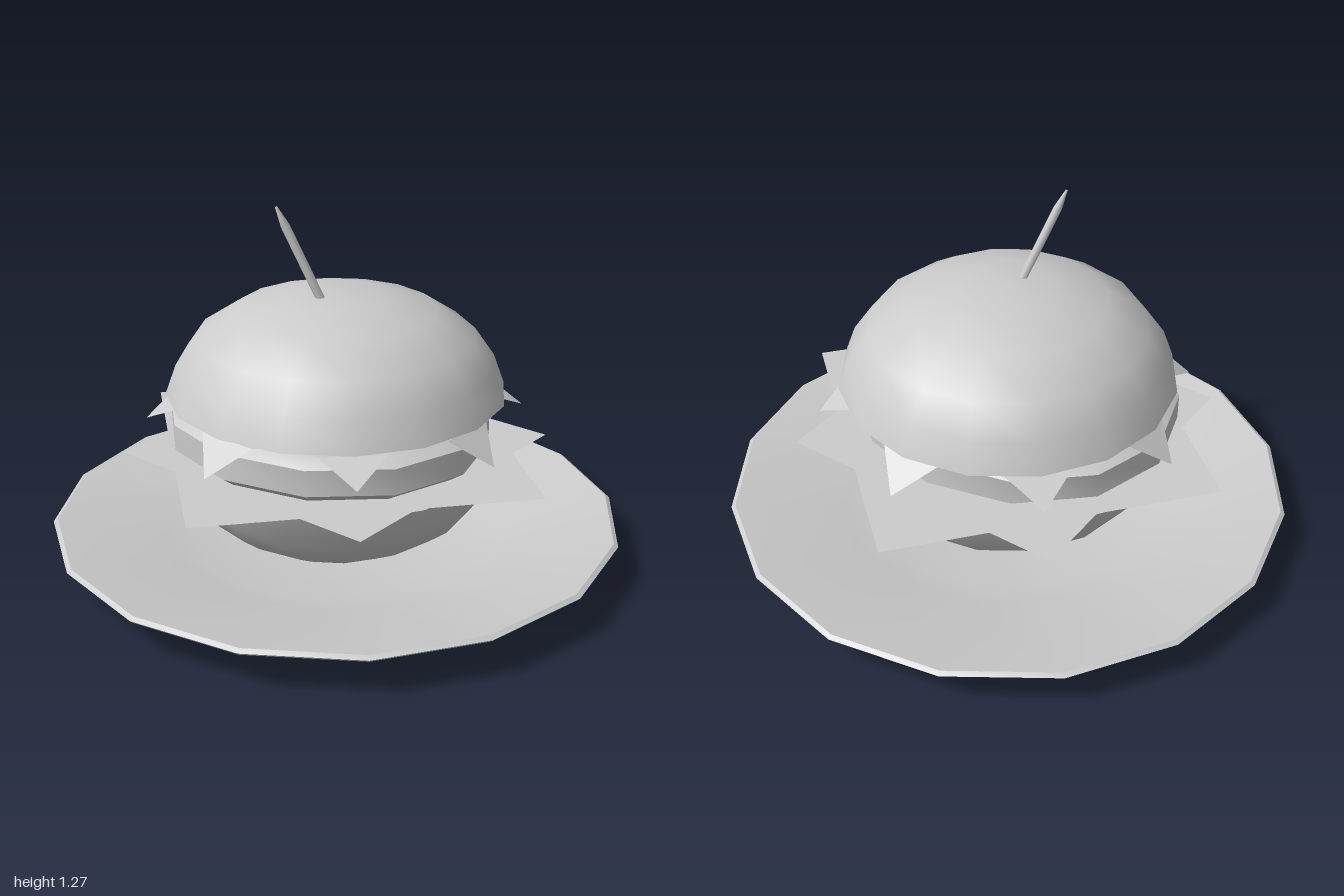
import * as THREE from 'three';
import { toCreasedNormals } from 'three/addons/utils/BufferGeometryUtils.js';

export function createModel() {
  const group = new THREE.Group();
  const solid = new THREE.MeshStandardMaterial({ color: 0xcccccc });
  const thin = new THREE.MeshStandardMaterial({ color: 0xcccccc, side: THREE.DoubleSide });

  const add = (name, geometry, material = solid) => {
    const mesh = new THREE.Mesh(geometry, material);
    mesh.name = name;
    group.add(mesh);
    return mesh;
  };
  // Round part from a profile of [radius, height], bottom to top
  const turned = (name, profile, sides = 16, crease = 0.75) => {
    const points = profile.map(([r, y]) => new THREE.Vector2(r, y));
    return add(name, toCreasedNormals(new THREE.LatheGeometry(points, sides), crease));
  };

  // Plate with a foot, a wide sloping rim and a shallow well
  turned('plate', [
    [0, 0.005], [0.46, 0.005], [0.49, 0.025], [0.485, 0.05], [0.56, 0.062],
    [0.99, 0.138], [1, 0.148], [0.985, 0.158], [0.6, 0.088], [0.5, 0.062], [0, 0.06],
  ]);

  // Bun halves
  turned('bottomBun', [
    [0, 0.06], [0.28, 0.08], [0.41, 0.155], [0.48, 0.21], [0.545, 0.3], [0.588, 0.4], [0, 0.4],
  ]);
  turned('topBun', [
    [0, 0.606], [0.55, 0.606], [0.55, 0.617], [0.588, 0.617], [0.55, 0.72],
    [0.48, 0.82], [0.345, 0.908], [0.18, 0.956], [0, 0.966],
  ]);

  // Patty, slightly oval and off centre
  const patty = turned('patty', [
    [0, 0.425], [0.525, 0.425], [0.577, 0.46], [0.577, 0.55], [0.525, 0.585], [0, 0.585],
  ], 12, 0.9);
  patty.scale.x = 0.91;
  patty.position.set(-0.03, 0, -0.018);

  // Two flat lettuce leaves
  const leaf = (half, y, turn) => {
    const geometry = new THREE.PlaneGeometry(half * 2, half * 2).rotateX(-Math.PI / 2);
    const mesh = add('lettuceLeaf', geometry, thin);
    mesh.position.y = y;
    mesh.rotation.y = turn;
  };
  leaf(0.53, 0.407, 0);
  leaf(0.577, 0.415, Math.PI / 4 + 0.085);

  // Cheese slice: flat octagon with four corners folded down
  const cheese = (y, drop, turn) => {
    const h = 0.465, f = 0.31;
    const positions = [];
    for (let i = 0; i < 4; i++) {
      const corner = (x, yy, z) => {
        const v = new THREE.Vector3(x, yy, z).applyAxisAngle(new THREE.Vector3(0, 1, 0), i * Math.PI / 2);
        positions.push(v.x, v.y, v.z);
      };
      corner(0, 0, 0); corner(f, 0, h); corner(h, 0, f);
      corner(0, 0, 0); corner(h, 0, f); corner(h, 0, -f);
      corner(f, 0, h); corner(h, -drop, h); corner(h, 0, f);
    }
    const geometry = new THREE.BufferGeometry();
    geometry.setAttribute('position', new THREE.Float32BufferAttribute(positions, 3));
    geometry.computeVertexNormals();
    const mesh = add('cheeseSlice', geometry, thin);
    mesh.position.y = y;
    mesh.rotation.y = turn;
  };
  cheese(0.6, 0.07, 0);
  cheese(0.602, 0.098, Math.PI / 4);

  // Leaning toothpick with a pointed top
  const tip = new THREE.Vector3(-0.178, 1.275, -0.108);
  const base = new THREE.Vector3(-0.045, 0.86, 0.025);
  const length = tip.distanceTo(base);
  const pick = turned('toothpick', [
    [0, 0], [0.015, 0], [0.015, length - 0.07], [0.004, length], [0, length],
  ], 8, 0.9);
  pick.position.copy(base);
  pick.quaternion.setFromUnitVectors(new THREE.Vector3(0, 1, 0), tip.sub(base).normalize());

  return group;
}
